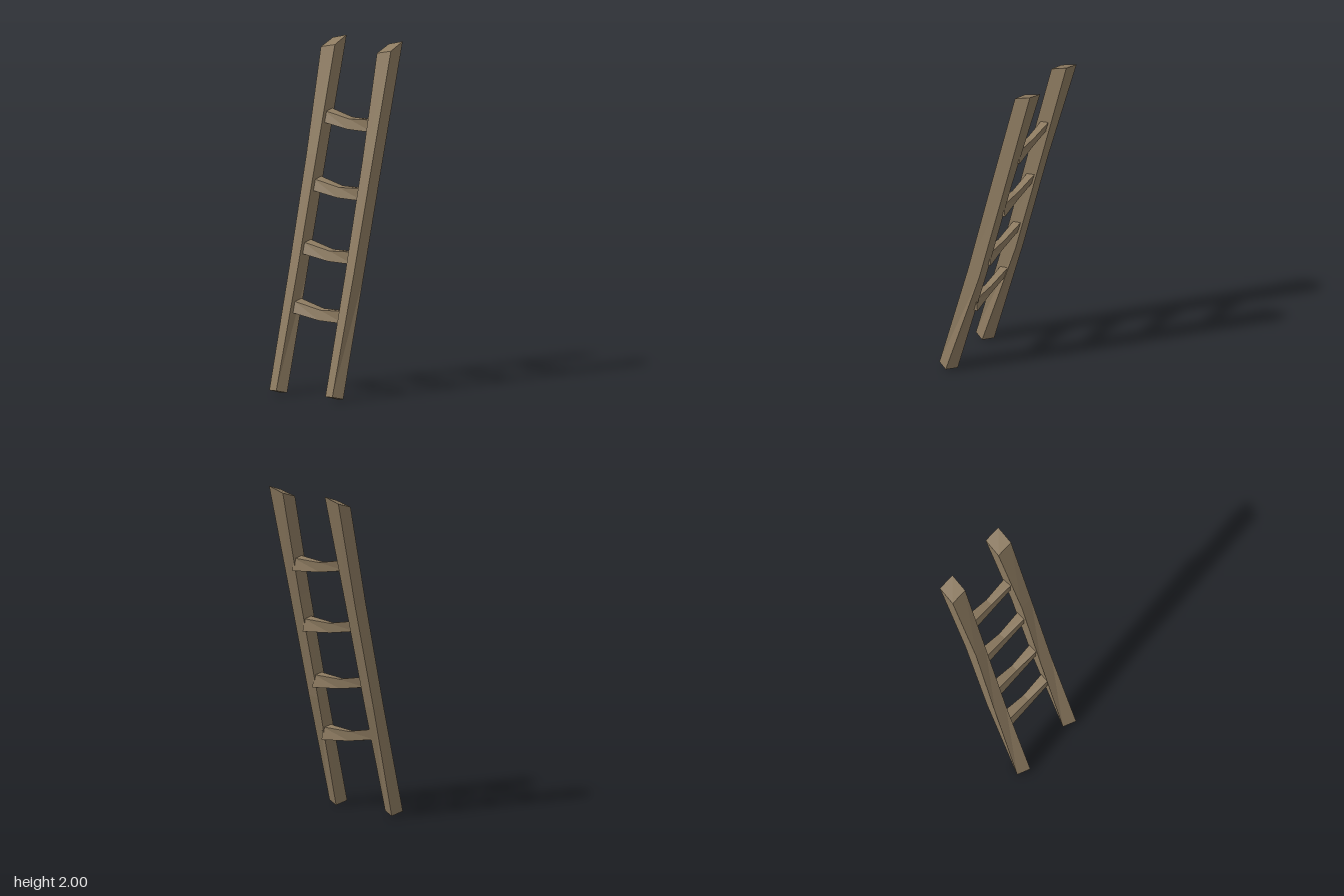
import * as THREE from 'three';

// Joins four-cornered rings (counter-clockwise seen from the last ring's end) into a capped, faceted beam
function beam(rings) {
  const pos = [];
  const quad = (a, b, c, d) => pos.push(...a, ...b, ...c, ...a, ...c, ...d);
  for (let i = 0; i < rings.length - 1; i++) {
    const r = rings[i], s = rings[i + 1];
    for (let j = 0; j < 4; j++) {
      const k = (j + 1) % 4;
      quad(r[j], r[k], s[k], s[j]);
    }
  }
  const f = rings[0], l = rings[rings.length - 1];
  quad(f[3], f[2], f[1], f[0]);
  quad(l[0], l[1], l[2], l[3]);
  const g = new THREE.BufferGeometry();
  g.setAttribute('position', new THREE.Float32BufferAttribute(pos, 3));
  g.computeVertexNormals();
  return g;
}

export function createModel() {
  const ladder = new THREE.Group();
  ladder.name = 'ladder';
  const wood = new THREE.MeshStandardMaterial({ color: 0x8c7a60 });
  wood.name = 'weathered wood';

  // Rails: leaning, slightly twisted beams, pinched in the middle and slanted on top
  const railGeometry = beam([
    [[-0.255, 0.02, 0.285], [-0.182, 0.028, 0.32], [-0.15, 0.012, 0.258], [-0.222, 0, 0.222]],
    [[-0.243, 0.7, 0.108], [-0.172, 0.71, 0.122], [-0.162, 0.685, 0.04], [-0.232, 0.68, 0.032]],
    [[-0.233, 1.34, -0.05], [-0.159, 1.345, -0.046], [-0.153, 1.32, -0.132], [-0.226, 1.315, -0.137]],
    [[-0.248, 1.935, -0.215], [-0.147, 1.957, -0.21], [-0.139, 2, -0.315], [-0.239, 1.975, -0.321]],
  ]);
  [['rightRail', 0], ['leftRail', 0.39]].forEach(([name, x]) => {
    const rail = new THREE.Mesh(railGeometry, wood);
    rail.name = name;
    rail.position.x = x;
    ladder.add(rail);
  });

  // Rungs: sagging, twisted bars, thinner in the middle
  const rungGeometry = beam([
    [[-0.175, 1.523, -0.116], [-0.175, 1.535, -0.17], [-0.175, 1.6, -0.189], [-0.175, 1.587, -0.134]],
    [[0, 1.493, -0.128], [0, 1.498, -0.172], [0, 1.557, -0.18], [0, 1.552, -0.139]],
    [[0.172, 1.49, -0.134], [0.172, 1.483, -0.197], [0.172, 1.558, -0.189], [0.172, 1.563, -0.131]],
  ]);
  [[-1.065, 0.284], [-0.735, 0.195], [-0.382, 0.099], [0, 0]].forEach(([y, z], i) => {
    const rung = new THREE.Mesh(rungGeometry, wood);
    rung.name = 'rung' + (i + 1);
    rung.position.set(0, y, z);
    ladder.add(rung);
  });

  return ladder;
}
